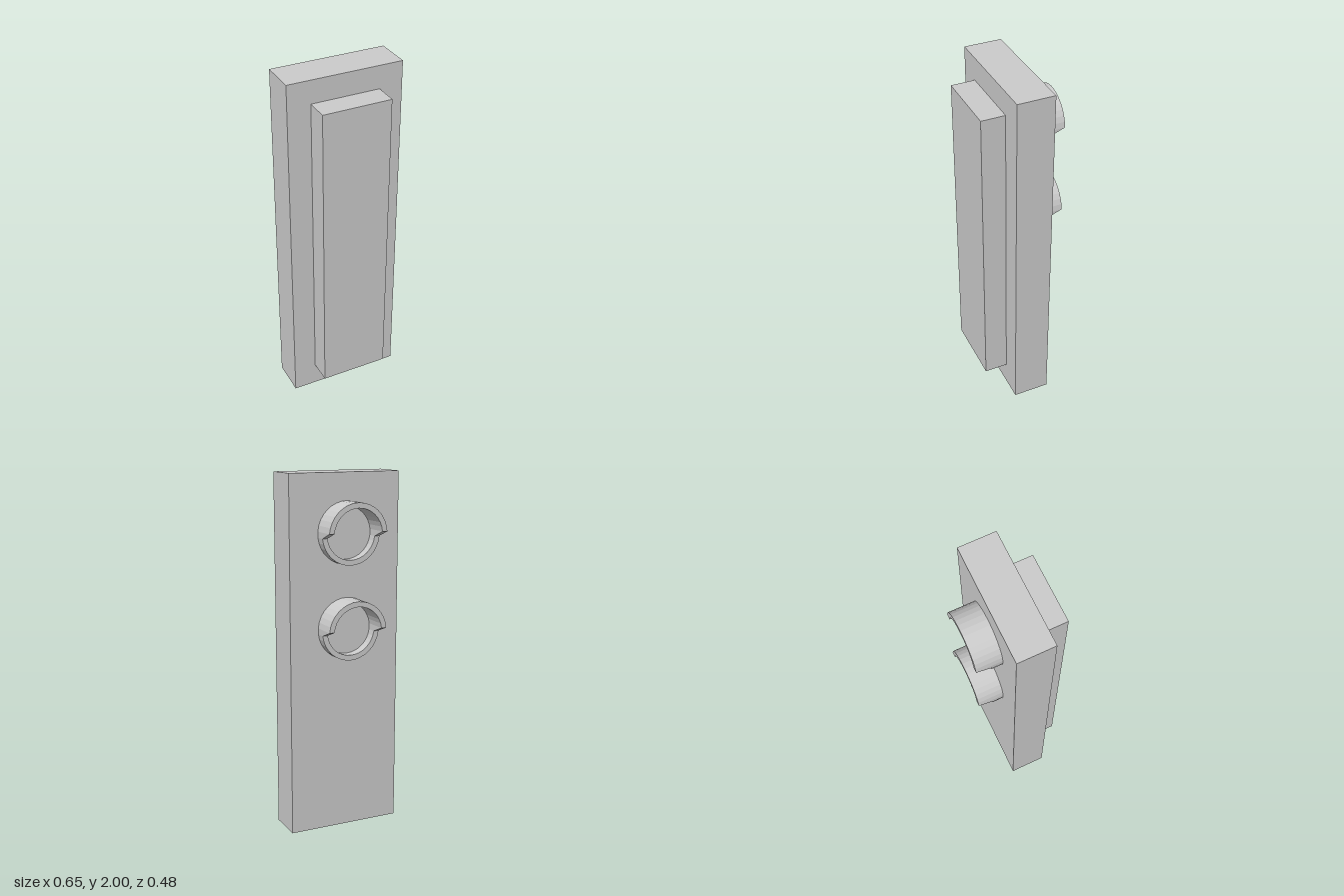
import * as THREE from 'three';

const material = new THREE.MeshStandardMaterial({ color: 0xcccccc, flatShading: true });
const BACK = -0.098, FRONT = 0.109, DEPTH = 0.242;

function block(name, w, y0, y1, z0, z1) {
  const mesh = new THREE.Mesh(new THREE.BoxGeometry(w, y1 - y0, z1 - z0), material);
  mesh.name = name;
  mesh.position.set(0, (y0 + y1) / 2, (z0 + z1) / 2);
  return mesh;
}

// Hollow ring whose upper half reaches further out, with a sloped step at each side
function hoodGeometry(outer, inner, rimZ, hoodZ) {
  const n = 16, sections = [];
  const arc = (base, yBreak, z) => {
    for (let i = 0; i <= n; i++) {
      const [o, k] = [outer, inner].map((r) => {
        const start = Math.asin(yBreak / r);
        const a = base + start + (i / n) * (Math.PI - 2 * start);
        return [r * Math.cos(a), r * Math.sin(a)];
      });
      sections.push([[...o, BACK], [...o, z], [...k, z], [...k, BACK]]);
    }
  };
  arc(0, 0.014, hoodZ);
  arc(Math.PI, 0.019, rimZ);

  const positions = [];
  sections.forEach((p, i) => {
    const q = sections[(i + 1) % sections.length];
    for (let j = 0; j < 3; j++) {
      for (const v of [p[j], p[j + 1], q[j + 1], p[j], q[j + 1], q[j]]) positions.push(...v);
    }
  });
  const geometry = new THREE.BufferGeometry();
  geometry.setAttribute('position', new THREE.Float32BufferAttribute(positions, 3));
  geometry.computeVertexNormals();
  return geometry;
}

export function createModel() {
  const group = new THREE.Group();
  group.name = 'signalLight';

  // Main panel and the raised box on its front
  group.add(block('panel', 0.65, 0, 2, BACK, FRONT));
  group.add(block('frontBox', 0.388, 0.137, 1.87, FRONT, DEPTH));

  // Two lamp hoods on the back
  const hood = hoodGeometry(0.171, 0.142, -0.155, -DEPTH);
  [['upperHood', 1.678], ['lowerHood', 1.154]].forEach(([name, y]) => {
    const mesh = new THREE.Mesh(hood, material);
    mesh.name = name;
    mesh.position.set(-0.01, y, 0);
    group.add(mesh);
  });
  return group;
}
